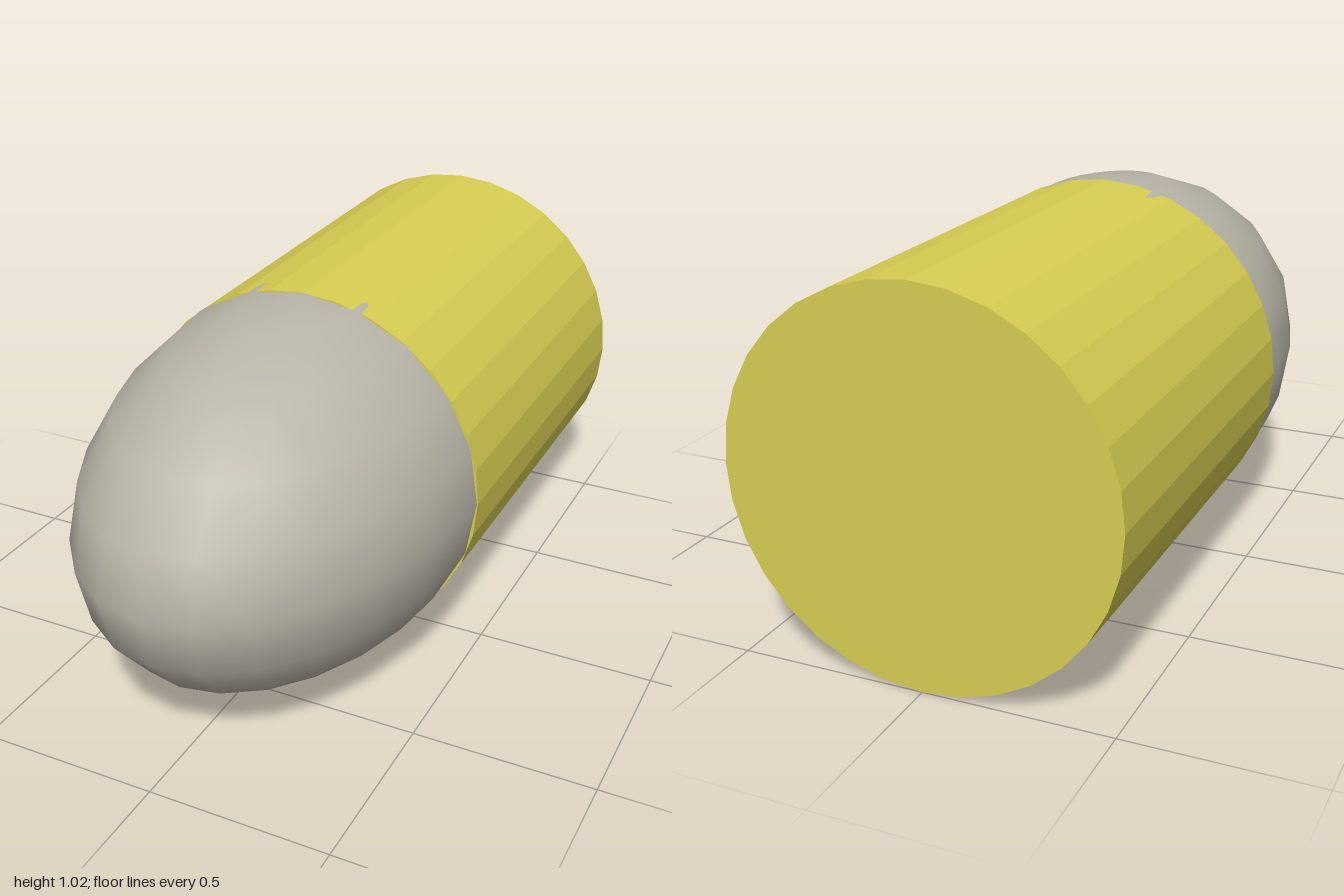
import * as THREE from 'three';

export function createModel() {
  const model = new THREE.Group();
  model.name = 'roundNosedCylinder';

  const yellow = new THREE.MeshStandardMaterial({ color: 0xd8cf52 });
  yellow.name = 'yellow';
  yellow.flatShading = true;
  const grey = new THREE.MeshStandardMaterial({ color: 0xb9b6a8 });
  grey.name = 'warmGrey';

  const radiusX = 0.518, radiusY = 0.5125, joint = 0.14;

  // faceted case lying along z, capped at both ends
  const caseGeometry = new THREE.CylinderGeometry(1, 1, joint + 1, 32);
  caseGeometry.rotateX(Math.PI / 2);
  caseGeometry.scale(radiusX, radiusY, 1);
  const casing = new THREE.Mesh(caseGeometry, yellow);
  casing.name = 'case';
  casing.position.set(0, radiusY, (joint - 1) / 2);
  model.add(casing);

  // smooth stretched ball, its rear half hidden in the case
  const noseGeometry = new THREE.SphereGeometry(1, 25, 10, Math.PI / 2);
  noseGeometry.scale(radiusX, radiusY, 1 - joint);
  const nose = new THREE.Mesh(noseGeometry, grey);
  nose.name = 'nose';
  nose.position.set(0, radiusY, joint);
  model.add(nose);

  return model;
}
